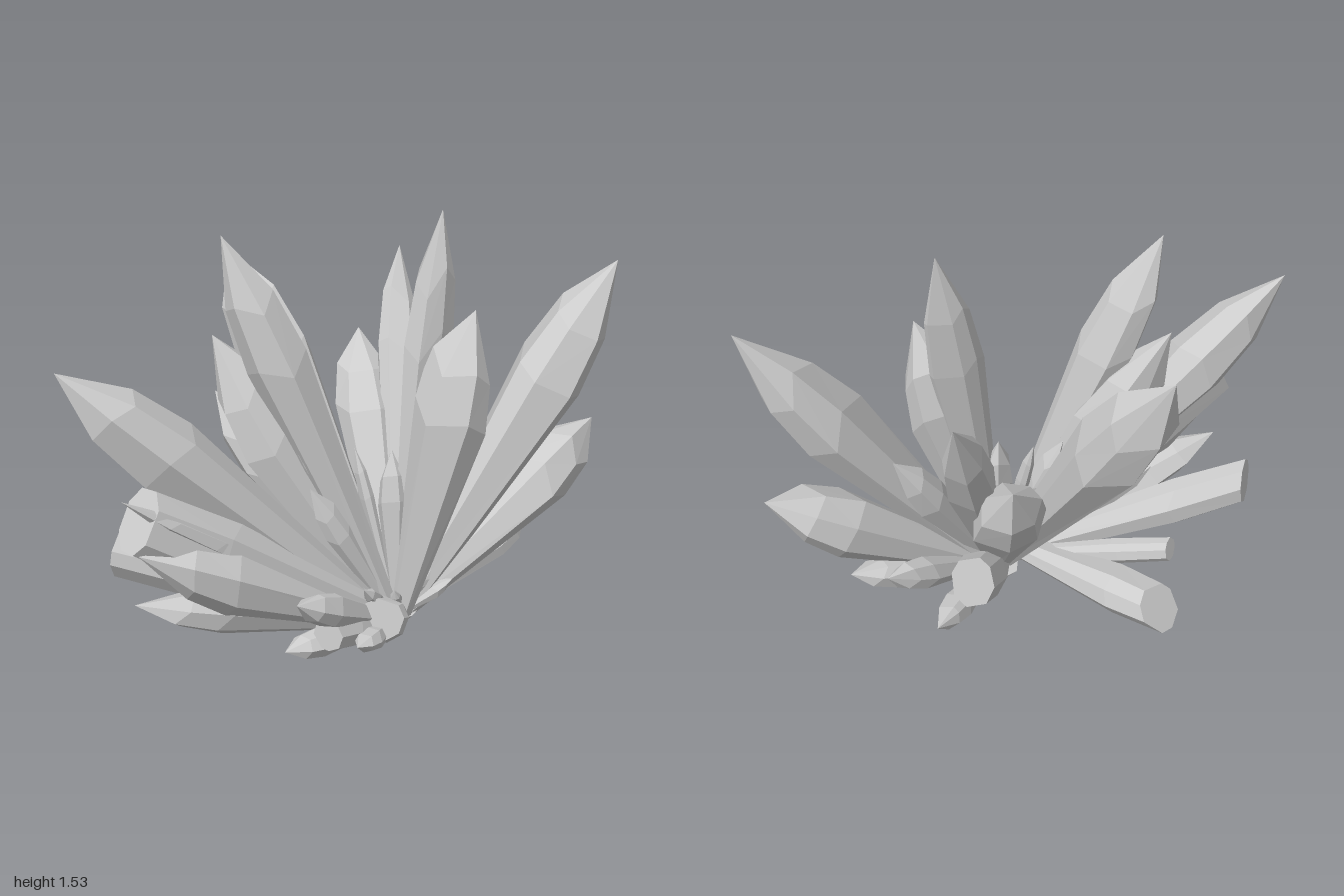
import * as THREE from 'three';

// Crystal rows: tip x, y, z, radius across, radius in depth
const TALL = [
  [-0.38, 1.49, -0.04, 0.11, 0.11],
  [0.37, 1.53, 0.21, 0.11, 0.055],
  [0, 1.31, -0.57, 0.14, 0.145],
  [0.98, 1.32, 0.49, 0.14, 0.14],
  [-1.0, 1.14, -0.04, 0.135, 0.125],
  [0.66, 1.28, -0.34, 0.09, 0.08],
  [0.37, 1.21, 0.39, 0.14, 0.14],
  [0.47, 0.97, -0.36, 0.135, 0.12],
  [-0.38, 1.14, -0.11, 0.155, 0.1],
  [-0.31, 0.9, -0.21, 0.11, 0.11],
];
const SIDE = [
  [1.0, 0.69, 0.41, 0.125, 0.14],
  [0.76, 0.3, 0.31, 0.06, 0.075],
  [0.58, 0.78, 0.235, 0.075, 0.07],
  [0.69, 0.36, 0.15, 0.065, 0.06],
  [0.6, 0.2, -0.03, 0.045, 0.06],
  [-0.88, 0.58, 0.21, 0.115, 0.11],
  [-0.86, 0.37, 0.13, 0.075, 0.1],
  [-0.92, 0.77, 0.19, 0.04, 0.05],
  [-0.46, 0.38, 0.47, 0.06, 0.06],
  [-0.4, 0.12, 0.32, 0.05, 0.06],
  [-0.23, 0.16, 0.5, 0.04, 0.05],
];
const SMALL = [
  [-0.03, 0.72, 0.06, 0.05, 0.05],
  [0.15, 0.7, 0.22, 0.06, 0.05],
  [-0.2, 0.63, 0.2, 0.055, 0.04],
  [0.06, 0.7, 0.12, 0.025, 0.03],
  [-0.27, 0.95, 0.07, 0.035, 0.04],
  [-0.3, 0.84, -0.08, 0.04, 0.04],
  [-0.43, 0.45, 0.02, 0.05, 0.05],
  [0.32, 0.2, 0.38, 0.025, 0.03],
  [0.24, 0.25, 0.35, 0.02, 0.02],
  [0.02, 0.25, 0.4, 0.025, 0.025],
  [-0.12, 0.3, 0.4, 0.03, 0.03],
];
// Broken crystals carry the direction their cut end faces as well
const BLUNT = [
  [0.52, 0.48, -0.16, 0.105, 0.095, 0.9, 0.35, 0.1],
  [-0.72, 0.39, -0.21, 0.095, 0.09, -0.6, 0.1, -0.8],
  [-0.31, 0.27, -0.25, 0.045, 0.05, -0.4, 0.2, -0.8],
  [-0.84, 0.67, 0.15, 0.125, 0.1, -0.85, 0.5, 0],
  [-0.07, 0.18, 0.43, 0.085, 0.08, -0.4, 0.3, 0.8],
  [-0.3, 0.2, 0.43, 0.06, 0.06, -0.9, 0.1, 0.4],
];

// Outline as [height fraction, radius fraction]
const POINTED = [[0, 0.3], [0.68, 1], [0.83, 0.8], [1, 0]];
const CUT = [[0, 0.5], [0.7, 1], [1, 0.92]];

let seed = 7;
function rand() {
  seed = (seed * 16807) % 2147483647;
  return seed / 2147483647;
}

// Faceted shaft built from rings; "cut" is the local normal of a broken end
function crystalGeometry(length, rx, rz, outline, sides, cut) {
  const turn = rand() * Math.PI;
  const corner = Array.from({ length: sides }, (_, i) => ({
    a: turn + ((i + (rand() - 0.5) * 0.4) / sides) * Math.PI * 2,
    lift: (rand() - 0.5) * 0.09,
  }));
  const rings = outline.map(([h, r], k) => corner.map(({ a, lift }) => {
    const x = Math.cos(a) * r * rx;
    const z = Math.sin(a) * r * rz;
    let y = (h + (k > 0 && h < 1 ? lift : 0)) * length;
    if (cut && h === 1) y -= (cut.x * x + cut.z * z) / cut.y;
    return new THREE.Vector3(x, y, z);
  }));
  const pos = [];
  const tri = (...pts) => pts.forEach((p) => pos.push(p.x, p.y, p.z));
  for (let k = 0; k < rings.length - 1; k++) {
    for (let i = 0; i < sides; i++) {
      const j = (i + 1) % sides;
      tri(rings[k][i], rings[k + 1][i], rings[k][j]);
      if (outline[k + 1][1] > 0) tri(rings[k][j], rings[k + 1][i], rings[k + 1][j]);
    }
  }
  const top = rings[rings.length - 1];
  for (let i = 1; i < sides - 1; i++) {
    tri(rings[0][0], rings[0][i], rings[0][i + 1]);
    if (cut) tri(top[0], top[i + 1], top[i]);
  }
  const geo = new THREE.BufferGeometry();
  geo.setAttribute('position', new THREE.Float32BufferAttribute(pos, 3));
  geo.computeVertexNormals();
  return geo;
}

export function createModel() {
  const model = new THREE.Group();
  model.name = 'crystalCluster';
  const material = new THREE.MeshStandardMaterial({ color: 0xcccccc, flatShading: true });

  // Places one crystal from its root to its tip
  function addCrystal(parent, name, [x, y, z, rx, rz, ...facing], root, outline, sides) {
    const dir = new THREE.Vector3(x, y, z).sub(root);
    const length = dir.length();
    const turn = new THREE.Quaternion().setFromUnitVectors(new THREE.Vector3(0, 1, 0), dir.normalize());
    const cut = facing.length
      ? new THREE.Vector3(...facing).applyQuaternion(turn.clone().invert())
      : null;
    const mesh = new THREE.Mesh(crystalGeometry(length, rx, rz, outline, sides, cut), material);
    mesh.name = name;
    mesh.position.copy(root);
    mesh.quaternion.copy(turn);
    parent.add(mesh);
  }

  function addSet(name, rows, outline, sides) {
    const group = new THREE.Group();
    group.name = name + 's';
    rows.forEach((row, i) => {
      // Roots spread a little along the cluster
      const root = new THREE.Vector3(0.12 + row[0] * 0.05, 0.08, 0.29 - row[0] * 0.03 + row[2] * 0.04);
      addCrystal(group, name + (i + 1), row, root, outline, sides);
    });
    model.add(group);
  }

  addSet('tallCrystal', TALL, POINTED, 7);
  addSet('sideCrystal', SIDE, POINTED, 7);
  addSet('smallCrystal', SMALL, POINTED, 6);
  addSet('bluntCrystal', BLUNT, CUT, 8);

  // Broken crystal lying on the ground toward the back
  addCrystal(model, 'lyingCrystal', [-0.16, 0.14, -0.375, 0.105, 0.095, -0.2, 0.5, -0.85],
    new THREE.Vector3(0.05, 0.12, 0.25), CUT, 8);

  // Faceted foot where the crystals meet
  const foot = new THREE.Mesh(new THREE.CylinderGeometry(0.09, 0.015, 0.08, 7), material);
  foot.name = 'foot';
  foot.position.set(0.16, 0.04, 0.25);
  model.add(foot);
  return model;
}
